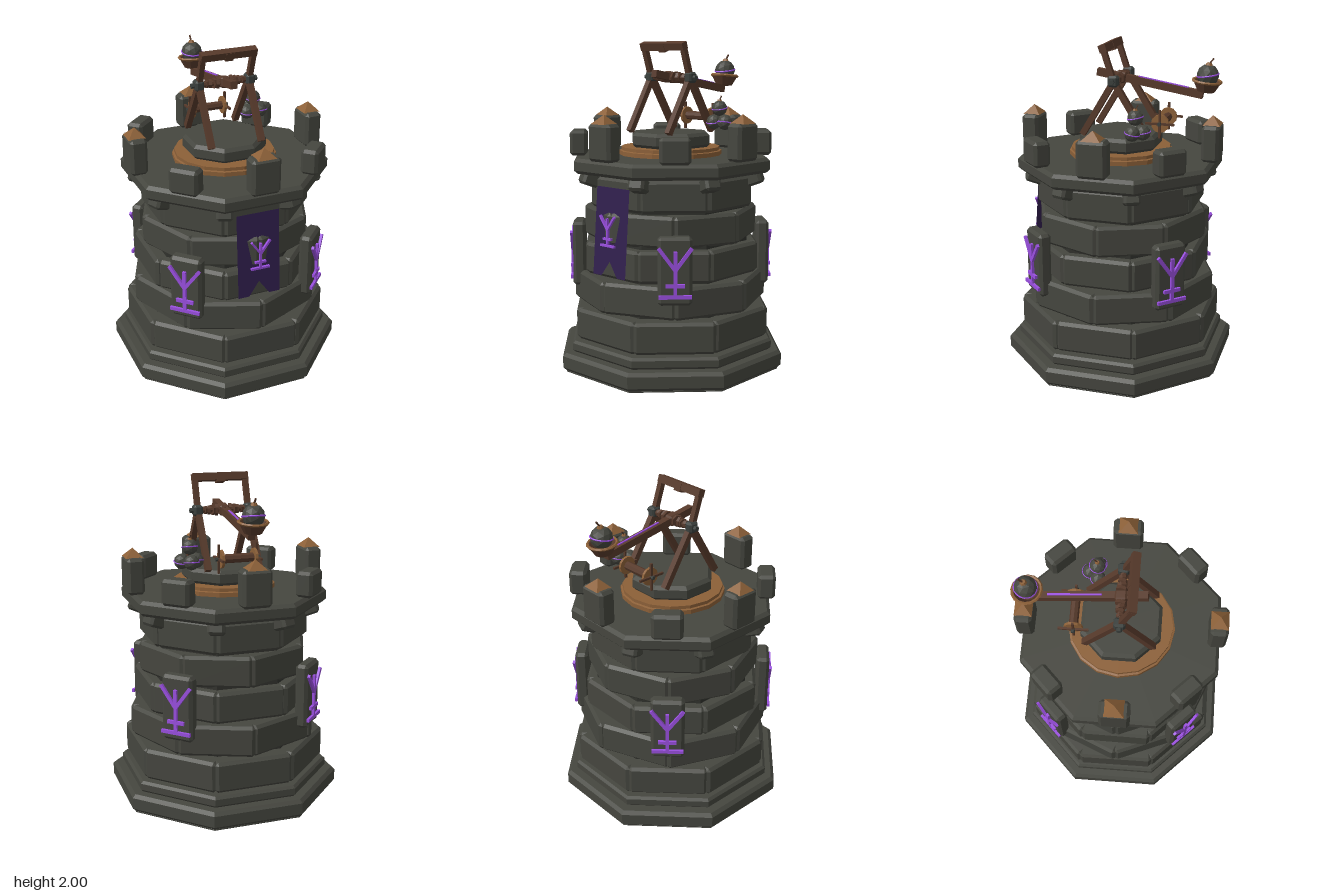
import * as THREE from 'three';
import { ConvexGeometry } from 'three/addons/geometries/ConvexGeometry.js';

const mat = (name, color, side = THREE.FrontSide) => {
  const m = new THREE.MeshStandardMaterial({ color, flatShading: true, side });
  m.name = name;
  return m;
};
const V = (x, y, z) => new THREE.Vector3(x, y, z);

export function createModel() {
  const stone = mat('stone', 0x45463f);
  const mortar = mat('mortar', 0x30312c);
  const wood = mat('wood', 0x573a2b);
  const bronze = mat('bronze', 0x8c6038);
  const iron = mat('iron', 0x3b403d);
  const glow = mat('purpleGlow', 0x9a4fe0);
  const cloth = mat('bannerCloth', 0x311f4e, THREE.DoubleSide);

  const model = new THREE.Group();
  model.name = 'siegeTower';

  const group = (name, parent = model) => {
    const g = new THREE.Group();
    g.name = name;
    parent.add(g);
    return g;
  };
  const add = (parent, name, geo, material, x = 0, y = 0, z = 0) => {
    const m = new THREE.Mesh(geo, material);
    m.name = name;
    m.position.set(x, y, z);
    parent.add(m);
    return m;
  };
  // box with chamfered edges
  const chamferBox = (w, h, d, b) => {
    const pts = [];
    for (const x of [-1, 1]) for (const y of [-1, 1]) for (const z of [-1, 1]) {
      pts.push(V(x * w / 2, y * (h / 2 - b), z * (d / 2 - b)),
        V(x * (w / 2 - b), y * h / 2, z * (d / 2 - b)),
        V(x * (w / 2 - b), y * (h / 2 - b), z * d / 2));
    }
    return new ConvexGeometry(pts);
  };
  // chamfered octagonal slab, sized by the distance to its flat sides
  const octSlab = (name, apothem, y0, y1, b, material = stone, topApothem = apothem) => {
    const k = 1 / Math.cos(Math.PI / 8);
    const p = [[0, y0], [(apothem - b) * k, y0], [apothem * k, y0 + b],
      [topApothem * k, y1 - b], [(topApothem - b) * k, y1], [0, y1]];
    const geo = new THREE.LatheGeometry(p.map(([x, y]) => new THREE.Vector2(x, y)), 8, Math.PI / 8);
    return add(model, name, geo, material);
  };
  // beam between two points
  const beam = (parent, name, a, b, w, d, material = wood) => {
    const dir = b.clone().sub(a);
    const m = add(parent, name, new THREE.BoxGeometry(w, dir.length(), d), material);
    m.position.copy(a).add(b).multiplyScalar(0.5);
    m.quaternion.setFromUnitVectors(V(0, 1, 0), dir.normalize());
    return m;
  };
  const bar = (parent, name, r, len, x, y, z, material, sides = 8) => {
    const m = add(parent, name, new THREE.CylinderGeometry(r, r, len, sides), material, x, y, z);
    m.rotation.z = Math.PI / 2;
    return m;
  };

  // plinth, core and deck
  octSlab('base', 0.67, 0.01, 0.12, 0.02);
  octSlab('foot', 0.67 - 0.02, 0, 0.011, 0.002);
  octSlab('plinth', 0.61, 0.12, 0.19, 0.015);
  octSlab('core', 0.5, 0.18, 1.23, 0.01, mortar, 0.43);
  octSlab('deck', 0.587, 1.22, 1.312, 0.02);

  // five staggered courses of stone blocks
  let seed = 7;
  const rnd = () => (seed = (seed * 16807) % 2147483647) / 2147483647;
  const wall = group('wall');
  [0.585, 0.553, 0.525, 0.5, 0.485].forEach((r, row) => {
    for (let i = 0; i < 8; i++) {
      const a = (i + (row % 2) / 2) * Math.PI / 4;
      const out = r + (i && row !== 3 ? (rnd() - 0.4) * 0.015 : 0);
      const block = add(wall, 'wallBlock', chamferBox(2 * r * 0.414 - 0.004, 0.19, 0.14, 0.018), stone);
      block.position.set(Math.sin(a) * (out - 0.07), 0.297 + row * 0.203, Math.cos(a) * (out - 0.07));
      block.rotation.y = a + (row === 3 ? 0 : (rnd() - 0.5) * 0.02);
    }
  });

  // corbels under the deck corners
  for (let i = 0; i < 8; i++) {
    const g = group('corbel');
    g.rotation.y = (i + 0.5) * Math.PI / 4;
    const c = add(g, 'corbelBlock', chamferBox(0.1, 0.085, 0.14, 0.015), stone, 0, 1.18, 0.52);
    c.rotation.x = -0.35;
  }

  // tall capped and short plain merlons
  for (let i = 0; i < 8; i++) {
    const g = group('merlon'), tall = i % 2 === 0, h = tall ? 0.22 : 0.155;
    g.rotation.y = i * Math.PI / 4;
    add(g, 'merlonBlock', chamferBox(0.18, h, 0.105, 0.018), stone, 0, 1.31 + h / 2, 0.567);
    if (tall) {
      const cap = new THREE.ConeGeometry(0.074, 0.055, 4, 1, false, Math.PI / 4);
      add(g, 'merlonCap', cap, bronze, 0, 1.555, 0.567).scale.x = 1.1;
    }
  }

  // three-pronged carved sign, centred on its stem
  const rune = (parent, s, y, z) => {
    const g = group('rune', parent);
    g.position.set(0, y, z);
    g.scale.set(s, s, 1);
    const line = (x0, y0, x1, y1) =>
      beam(g, 'runeStroke', V(x0, y0, 0), V(x1, y1, 0), 0.021, 0.016, glow);
    line(0, -0.145, 0, 0.12);
    line(0, 0.01, -0.095, 0.14);
    line(0, 0.01, 0.095, 0.14);
    line(-0.055, -0.08, 0.055, -0.08);
    line(-0.095, -0.145, 0.095, -0.145);
    return g;
  };

  // rune slabs on the diagonal sides
  for (let i = 0; i < 4; i++) {
    const g = group('runePanel');
    g.rotation.y = (i + 0.5) * Math.PI / 2;
    add(g, 'panelSlab', chamferBox(0.2, 0.4, 0.08, 0.018), stone, 0, 0.7, 0.57);
    rune(g, 1, 0.7, 0.618);
  }

  // swallow-tailed banner
  const shape = new THREE.Shape([[-0.135, 0], [-0.135, -0.53], [-0.065, -0.53], [0, -0.44],
    [0.065, -0.53], [0.135, -0.53], [0.135, 0]].map(([x, y]) => new THREE.Vector2(x, y)));
  add(model, 'banner', new THREE.ShapeGeometry(shape), cloth, 0, 1.15, 0.499).rotation.x = -0.078;
  rune(model, 0.62, 0.9, 0.548);

  // turntable
  const ring = [[0, 1.31], [0.318, 1.31], [0.318, 1.338], [0.306, 1.342], [0.306, 1.362], [0, 1.362]];
  add(model, 'turntable', new THREE.LatheGeometry(
    ring.map(([x, y]) => new THREE.Vector2(x, y)), 16), bronze);
  octSlab('pedestal', 0.235, 1.36, 1.452, 0.02);

  // catapult frame
  const cat = group('catapult');
  for (const s of [-1, 1]) {
    const x = s * 0.16;
    beam(cat, 'frontLeg', V(x, 1.455, 0.195), V(x, 1.79, -0.005), 0.036, 0.036);
    beam(cat, 'backLeg', V(x, 1.455, -0.205), V(x, 1.79, 0.005), 0.036, 0.036);
    beam(cat, 'post', V(x, 1.78, 0), V(x, 1.975, 0.065), 0.032, 0.032);
    add(cat, 'axleHub', chamferBox(0.056, 0.066, 0.066, 0.012), iron, s * 0.163, 1.785, 0);
    bar(cat, 'axlePin', 0.016, 0.03, s * 0.195, 1.785, 0, iron, 6);
    // twisted rope coils
    for (let i = 0; i < 4; i++) {
      const coil = bar(cat, 'ropeCoil', 0.036 - i * 0.004, 0.018, s * (0.042 + i * 0.024), 1.785, 0, wood, 7);
      coil.rotation.y = (i % 2 ? 1 : -1) * 0.25;
    }
  }
  bar(cat, 'axle', 0.018, 0.32, 0, 1.785, 0, wood);
  const top = add(cat, 'topBeam', new THREE.BoxGeometry(0.35, 0.045, 0.045), wood, 0, 1.973, 0.065);
  top.rotation.x = 0.32;
  add(cat, 'stopPad', new THREE.BoxGeometry(0.05, 0.05, 0.05), wood, 0, 1.965, 0.062).rotation.x = 0.32;

  // throwing arm with glowing inlay
  const arm = group('throwingArm', cat);
  arm.position.set(0, 1.785, 0);
  arm.rotation.x = -0.165;
  add(arm, 'armBeam', new THREE.BoxGeometry(0.042, 0.044, 0.66), wood, 0, 0, -0.18);
  add(arm, 'armInlay', new THREE.BoxGeometry(0.01, 0.008, 0.31), glow, 0, 0.024, -0.262);
  add(arm, 'armCollar', chamferBox(0.06, 0.065, 0.07, 0.01), wood);

  // cup
  const cup = group('cup', cat);
  cup.position.set(0, 1.785, -0.525);
  cup.rotation.x = -0.1;
  const bowl = [[0, -0.068], [0.052, -0.062], [0.085, 0], [0.074, 0], [0.045, -0.04], [0, -0.046]];
  add(cup, 'cupBowl', new THREE.LatheGeometry(
    bowl.map(([x, y]) => new THREE.Vector2(x, y)), 12), wood);
  add(cup, 'cupRim', new THREE.TorusGeometry(0.083, 0.009, 5, 16), bronze).rotation.x = Math.PI / 2;

  // banded fire pots
  const pot = (parent, r, x, y, z, tilt, fuse) => {
    const g = group('firePot', parent);
    g.position.set(x, y, z);
    add(g, 'potBody', new THREE.IcosahedronGeometry(r, 1), stone);
    const band = add(g, 'potBand', new THREE.TorusGeometry(r * 0.97, r * 0.08, 5, 18), glow);
    band.rotation.x = Math.PI / 2 + tilt;
    if (!fuse) return;
    add(g, 'potCap', new THREE.CylinderGeometry(r * 0.22, r * 0.32, r * 0.22, 7), bronze, 0, r, 0);
    beam(g, 'potFuse', V(0, r, 0), V(0, r * 1.55, -r * 0.35), r * 0.13, r * 0.13);
  };
  pot(cup, 0.066, 0, 0.035, 0, 0.25, true);
  const pile = group('potPile');
  pot(pile, 0.047, 0.22, 1.513, -0.155, 0.2, false);
  pot(pile, 0.047, 0.308, 1.513, -0.155, -0.2, false);
  pot(pile, 0.047, 0.262, 1.513, -0.205, 0.15, false);
  pot(pile, 0.048, 0.26, 1.598, -0.16, 0.2, true);

  // winch with spoked wheels
  const winch = group('winch', cat);
  winch.position.set(0, 1.535, -0.27);
  bar(winch, 'winchDrum', 0.027, 0.22, 0, 0, 0, wood);
  for (const s of [-1, 1]) {
    bar(winch, 'winchWheel', 0.055, 0.016, s * 0.103, 0, 0, bronze, 12);
    bar(winch, 'winchPin', 0.012, 0.04, s * 0.118, 0, 0, iron, 6);
    beam(winch, 'spoke', V(s * 0.117, -0.085, 0), V(s * 0.117, 0.085, 0), 0.013, 0.013);
    beam(winch, 'spoke', V(s * 0.117, 0, -0.088), V(s * 0.117, 0, 0.088), 0.013, 0.013);
  }
  return model;
}
